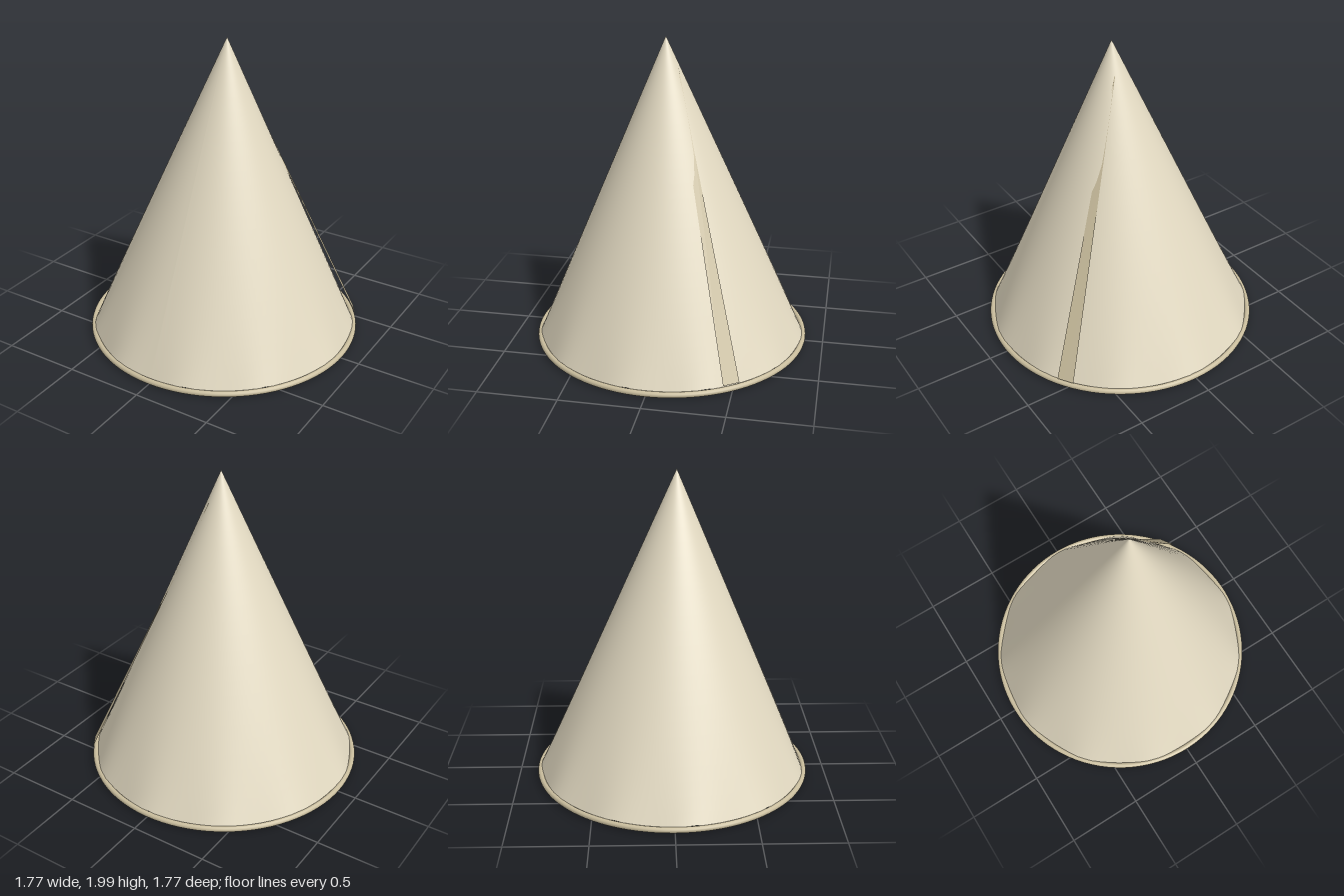
import * as THREE from 'three';

const APEX = new THREE.Vector3(0.04, 2, 0.03);
const cream = new THREE.MeshStandardMaterial({ color: 0xe3dac2, side: THREE.DoubleSide });
const tan = new THREE.MeshStandardMaterial({ color: 0xc9bd9d, side: THREE.DoubleSide });

function addMesh(group, name, geometry, material) {
  const mesh = new THREE.Mesh(geometry, material);
  mesh.name = name;
  group.add(mesh);
  return mesh;
}

// Open cone leaning to an off-centre tip, with a softly rippled lower edge
function coneGeometry() {
  const geometry = new THREE.CylinderGeometry(0.001, 0.862, 1, 96, 24, true);
  const pos = geometry.attributes.position;
  for (let i = 0; i < pos.count; i++) {
    const t = 0.5 - pos.getY(i); // 0 at the tip, 1 at the edge
    const angle = Math.atan2(pos.getX(i), pos.getZ(i));
    const ripple = 0.02 * Math.cos(angle * 11) * Math.pow(t, 8);
    pos.setXYZ(i,
      pos.getX(i) + APEX.x * (1 - t),
      THREE.MathUtils.lerp(APEX.y, 0.033, t) - ripple,
      pos.getZ(i) + APEX.z * (1 - t));
  }
  geometry.computeVertexNormals();
  return geometry;
}

// Thin band between two edges that have the same number of points
function bandGeometry(left, right) {
  const points = [], index = [];
  left.forEach((p, i) => {
    points.push(...p, ...right[i]);
    if (i > 0) {
      const a = 2 * i - 2;
      index.push(a, a + 2, a + 1, a + 1, a + 2, a + 3);
    }
  });
  const geometry = new THREE.BufferGeometry();
  geometry.setAttribute('position', new THREE.Float32BufferAttribute(points, 3));
  geometry.setIndex(index);
  geometry.computeVertexNormals();
  return geometry;
}

// Point on the cone at a height and an angle, moved outward by lift
function onCone(y, angle, lift) {
  const t = (2 - y) / 1.967, r = 0.862 * t + lift;
  return [APEX.x * (1 - t) + r * Math.cos(angle), y, APEX.z * (1 - t) + r * Math.sin(angle)];
}

export function createModel() {
  const group = new THREE.Group();
  group.name = 'coneHat';

  addMesh(group, 'cone', coneGeometry(), cream);

  // Round hoop along the lower edge
  const rim = addMesh(group, 'rim', new THREE.TorusGeometry(0.868, 0.018, 12, 96), tan);
  rim.rotation.x = Math.PI / 2;
  rim.position.y = 0.033;

  // Tapered seam band lying on the outside
  addMesh(group, 'outerSeam', bandGeometry(
    [[0.075, 1.81, -0.055], [0.26, 1.33, -0.15], [0.76, 0.07, -0.45]],
    [[0.07, 1.81, -0.055], [0.24, 1.33, -0.185], [0.70, 0.07, -0.54]]), tan);

  // Matching seam end on the inside
  const heights = [1.8, 1.2, 0.2], angle = Math.PI + 0.53;
  addMesh(group, 'innerSeam', bandGeometry(
    heights.map(y => onCone(y, angle - 0.03, -0.012)),
    heights.map(y => onCone(y, angle + 0.03, -0.012))), tan);

  return group;
}
